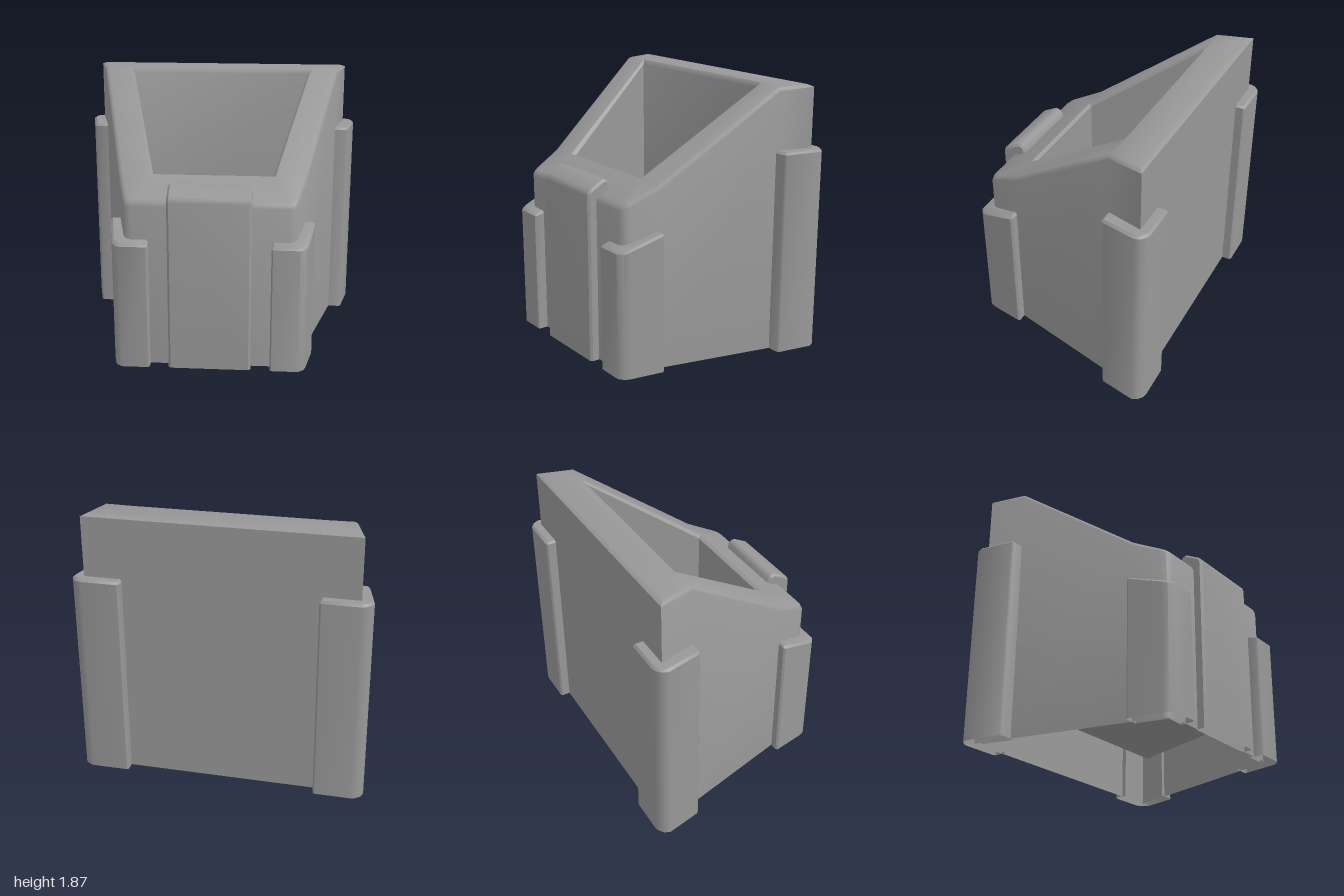
import * as THREE from 'three';
import { toCreasedNormals } from 'three/addons/utils/BufferGeometryUtils.js';

const material = new THREE.MeshStandardMaterial({ color: 0x989898, side: THREE.DoubleSide });

// Moves a counter-clockwise outline inwards by d with mitred corners.
function inset(points, d) {
  const n = points.length;
  const normal = (a, b) => new THREE.Vector2(a[1] - b[1], b[0] - a[0]).normalize();
  return points.map((p, i) => {
    const n1 = normal(points[(i + n - 1) % n], p);
    const n2 = normal(p, points[(i + 1) % n]);
    const k = d / (1 + n1.dot(n2));
    return [p[0] + (n1.x + n2.x) * k, p[1] + (n1.y + n2.y) * k];
  });
}

// Skins a stack of outlines. Each ring is { pts, to } where to(u, v) gives [x, y, z].
function loft(name, rings, { open = false, capStart = false } = {}) {
  const out = [];
  const tri = (...corners) => {
    const [a, b, c] = corners.map(p => new THREE.Vector3(...p));
    const area = b.clone().sub(a).cross(c.clone().sub(a)).length();
    if (area > 1e-8) out.push(...corners.flat());
  };
  const solid = rings.map(r => r.pts.map(p => r.to(p[0], p[1])));
  for (let i = 0; i + 1 < solid.length; i++) {
    const lo = solid[i], hi = solid[i + 1], n = lo.length;
    for (let j = 0; j < (open ? n - 1 : n); j++) {
      const k = (j + 1) % n;
      tri(lo[j], lo[k], hi[k]);
      tri(lo[j], hi[k], hi[j]);
    }
  }
  const cap = (ring, flip) => {
    const flat = ring.pts.filter((p, i, all) => {
      const q = all[(i + 1) % all.length];
      return Math.hypot(p[0] - q[0], p[1] - q[1]) > 1e-6;
    });
    const shape = flat.map(p => new THREE.Vector2(p[0], p[1]));
    for (const [a, b, c] of THREE.ShapeUtils.triangulateShape(shape, [])) {
      const t = [a, b, c].map(i => ring.to(flat[i][0], flat[i][1]));
      tri(...(flip ? t.reverse() : t));
    }
  };
  cap(rings[rings.length - 1], false);
  if (capStart) cap(rings[0], true);
  const g = new THREE.BufferGeometry();
  g.setAttribute('position', new THREE.Float32BufferAttribute(out, 3));
  const mesh = new THREE.Mesh(toCreasedNormals(g, 0.72), material);
  mesh.name = name;
  return mesh;
}

// Plan outlines are given as [x, z] and handled as [x, -z].
const plan = pts => pts.map(([x, z]) => [x, -z]);
const atHeight = f => (u, v) => [u, f(-v), -v];
const mirrored = half => [...half, ...half.map(([x, z]) => [-x, z]).reverse()];

// Height of the top: flat at the back, steep ramp, gentle front lip.
function topHeight(z) {
  if (z < -0.41) return 1.865;
  if (z < 0.41) return 1.865 - (z + 0.41) * 0.585 / 0.82;
  return 1.28 - (z - 0.41) * 0.46;
}

// Tapered housing, open underneath, with a deep pocket in its sloped top.
function makeBody() {
  const w = z => 0.745 - 0.265 * z;
  const outer = plan(mirrored([
    [0.525, 0.66], [0.566, 0.643], [0.583, 0.61],
    [w(0.41), 0.41], [w(-0.41), -0.41], [w(-0.66), -0.66],
  ]));
  const opening = (front, back) =>
    plan(mirrored([front, front, front, front, back, back]));
  const rim = opening([0.425, 0.405], [0.66, -0.425]);
  const pocket = opening([0.405, 0.38], [0.638, -0.405]);
  // The rounded edge is shallower along the back wall.
  const below = (d, back = d) => atHeight(z => topHeight(z) - (z < -0.6 ? back : d));
  return loft('body', [
    { pts: outer, to: atHeight(() => 0) },
    { pts: outer, to: below(0.03, 0.015) },
    { pts: inset(outer, 0.01), to: below(0.01) },
    { pts: inset(outer, 0.03), to: below(0) },
    { pts: rim, to: below(0) },
    { pts: pocket, to: below(0.03) },
    { pts: pocket, to: atHeight(() => 0.25) },
  ]);
}

// Corner guard wrapped round a vertical edge, with a bevelled top.
function makeGuard(name, outline, top, side) {
  const pts = plan(side > 0 ? outline : outline.map(([x, z]) => [-x, z]).reverse());
  return loft(name, [
    { pts, to: atHeight(() => 0) },
    { pts, to: atHeight(z => top(z) - 0.015) },
    { pts: inset(pts, 0.015), to: atHeight(top) },
  ]);
}

// Front strap that folds over the lip.
function makeStrap() {
  const profile = [
    [0.65, 0], [0.65, 1.14], [0.54, 1.19], [0.555, 1.255], [0.575, 1.272],
    [0.6, 1.277], [0.7, 1.225], [0.72, 1.205], [0.727, 1.18], [0.727, 0],
  ].map(([z, y]) => [-z, y]);
  const at = x => (u, v) => [x, v < 0.1 ? 0 : v, -u];
  const small = inset(profile, 0.015);
  return loft('frontStrap', [
    { pts: small, to: at(-0.28) },
    { pts: profile, to: at(-0.265) },
    { pts: profile, to: at(0.265) },
    { pts: small, to: at(0.28) },
  ], { open: true, capStart: true });
}

export function createModel() {
  const model = new THREE.Group();
  model.name = 'slopedContainer';
  model.add(makeBody(), makeStrap());

  const backOutline = [
    [0.93, -0.4], [0.945, -0.412], [1.0, -0.655], [0.985, -0.695], [0.95, -0.722],
    [0.92, -0.73], [0.672, -0.73], [0.66, -0.718], [0.66, -0.63], [0.885, -0.63],
    [0.82, -0.4],
  ];
  const frontOutline = [
    [0.41, 0.63], [0.41, 0.715], [0.42, 0.73], [0.6, 0.73], [0.64, 0.7],
    [0.655, 0.66], [0.7, 0.43], [0.69, 0.415], [0.6, 0.415], [0.545, 0.63],
  ];
  for (const [label, side] of [['Left', 1], ['Right', -1]]) {
    model.add(
      makeGuard('back' + label + 'Guard', backOutline, () => 1.435, side),
      makeGuard('front' + label + 'Guard', frontOutline,
        z => 0.89 + Math.max(0, 0.7 - z) * 0.32, side),
    );
  }
  return model;
}
